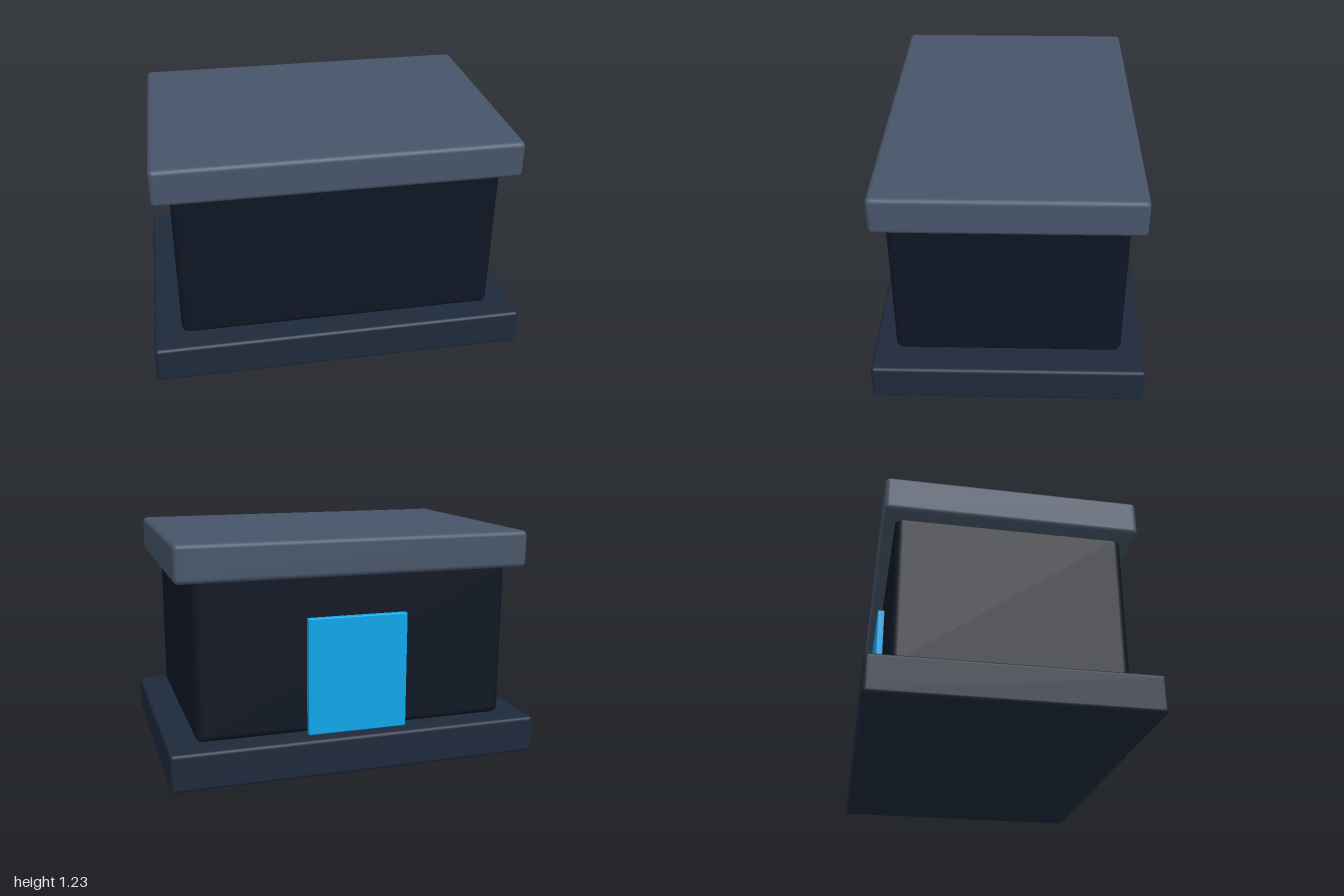
import * as THREE from 'three';
import { RoundedBoxGeometry } from 'three/addons/geometries/RoundedBoxGeometry.js';

// Rounded slab standing on height y0
function slab(name, [w, h, d], y0, z, radius, color) {
  const mesh = new THREE.Mesh(
    new RoundedBoxGeometry(w, h, d, 3, radius),
    new THREE.MeshStandardMaterial({ color })
  );
  mesh.name = name;
  mesh.position.set(0, y0 + h / 2, z);
  return mesh;
}

export function createModel() {
  const group = new THREE.Group();
  group.name = 'smallBuilding';
  group.add(
    slab('base', [2, 0.2, 1.43], 0, 0, 0.02, 0x1e293b),
    // The walls reach a little way into the roof
    slab('walls', [1.7, 0.87, 1.19], 0.2, 0, 0.04, 0x0f172a),
    slab('roof', [1.88, 0.195, 1.32], 1.03, 0, 0.025, 0x475569),
    // The door is on the back wall
    slab('door', [0.54, 0.62, 0.037], 0.2, -0.618, 0.006, 0x0ea5e9)
  );
  // Make the walls a touch darker than the base
  group.getObjectByName('walls').material.color.set(0x0f1623);
  return group;
}
